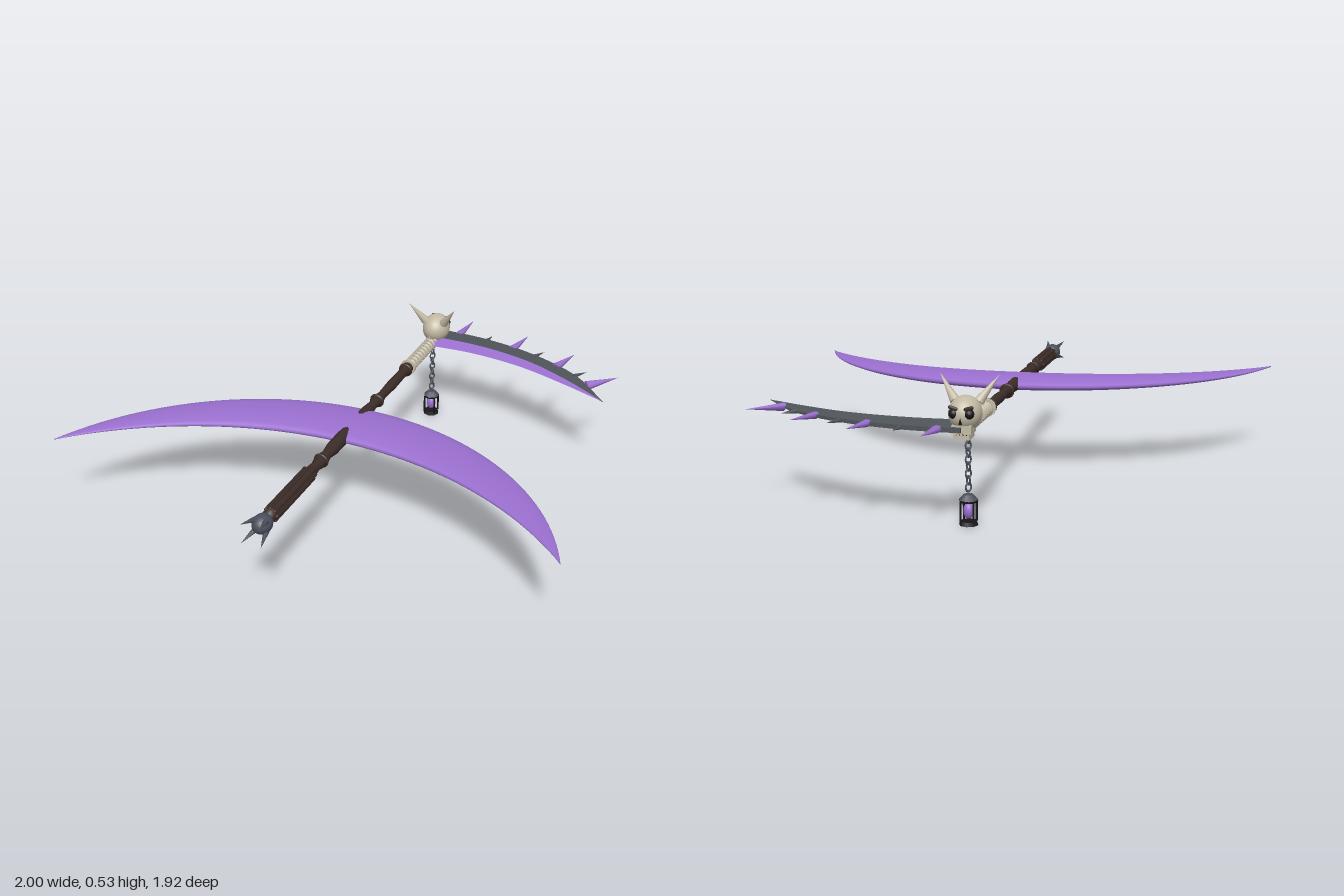
import * as THREE from 'three';

const V = (x, y, z) => new THREE.Vector3(x, y, z);
const mat = (name, color, side = THREE.FrontSide) => {
  const m = new THREE.MeshStandardMaterial({ color, side });
  m.name = name;
  return m;
};

export function createModel() {
  const root = new THREE.Group();
  root.name = 'scythe';
  const purple = mat('purple', 0x9a6fcf);
  const steel = mat('darkSteel', 0x50555a);
  const slate = mat('slate', 0x4a505c);
  const bone = mat('bone', 0xc4bba6);
  const wood = mat('darkWood', 0x3c2d28);
  const black = mat('black', 0x17151a);
  const Y = 0.36; // height of the shaft axis

  const add = (name, geo, m, pos = [0, 0, 0], parent = root) => {
    const mesh = new THREE.Mesh(geo, m);
    mesh.name = name;
    mesh.position.set(...pos);
    parent.add(mesh);
    return mesh;
  };
  // cone from a to b
  const spike = (name, a, b, r, m, sides = 8, flat = 1) => {
    const d = b.clone().sub(a);
    const geo = new THREE.ConeGeometry(r, d.length(), sides);
    const mesh = add(name, geo, m, a.clone().add(b).multiplyScalar(0.5).toArray());
    mesh.quaternion.setFromUnitVectors(V(0, 1, 0), d.normalize());
    mesh.scale.z = flat;
    return mesh;
  };
  // skin over closed rings that run counter-clockwise about the sweep direction
  const loft = (rings, sharp) => {
    const n = rings[0].length, idx = [];
    for (let i = 0; i < rings.length - 1; i++)
      for (let j = 0; j < n; j++) {
        const a = i * n + j, b = i * n + (j + 1) % n;
        idx.push(a, b, a + n, b, b + n, a + n);
      }
    for (let j = 1; j < n - 1; j++) idx.push(0, j + 1, j);
    let g = new THREE.BufferGeometry().setFromPoints(rings.flat());
    g.setIndex(idx);
    if (sharp) g = g.toNonIndexed();
    g.computeVertexNormals();
    return g;
  };

  // large crescent: elliptical sections between an outer and an inner arc
  const arc = (apex, tip, t) => {
    const s = tip - apex, R = (1 + s * s) / (2 * s), a = Math.asin(1 / R) * t;
    const full = s > 1 ? Math.PI - a : a;
    return V(R * Math.sin(full), Y, apex + R * (1 - Math.cos(full)));
  };
  const crescent = [];
  for (let i = 0; i <= 64; i++) {
    const t = -1 + i / 32;
    const o = arc(-0.005, 0.69, t), n = arc(0.255, 0.69, t);
    const mid = o.clone().add(n).multiplyScalar(0.5), half = n.clone().sub(mid);
    const h = 0.002 + 0.0265 * (1 - Math.abs(t) ** 1.6);
    const ring = [];
    for (let k = 0; k < 20; k++) {
      const a = k / 20 * Math.PI * 2;
      ring.push(mid.clone().addScaledVector(half, Math.cos(a)).add(V(0, -h * Math.sin(a), 0)));
    }
    crescent.push(ring);
  }
  add('crescentBlade', loft(crescent), purple);

  // gnarled shaft
  const shaft = [[-0.44, 0], [-0.44, 0.022], [-0.4, 0.027], [-0.36, 0.019], [-0.25, 0.021], [-0.15, 0.017],
    [-0.1, 0.026], [-0.06, 0.018], [0, 0.024], [0.06, 0.027], [0.13, 0.019], [0.2, 0.027], [0.32, 0.026],
    [0.37, 0.019], [0.415, 0.028], [0.46, 0.019], [0.5, 0.023], [0.52, 0.028], [0.66, 0.026], [0.81, 0.028],
    [0.84, 0.02], [0.84, 0]];
  const shaftGeo = new THREE.LatheGeometry(shaft.map(([z, r]) => new THREE.Vector2(r, z)), 14);
  add('shaft', shaftGeo.rotateX(Math.PI / 2), wood, [0, Y, 0]);
  for (const z of [-0.4, -0.1, 0.415])
    add('shaftKnot', new THREE.TorusGeometry(0.022, 0.008, 8, 16), wood, [0, Y, z]);
  // grip strands
  for (let i = 0; i < 8; i++) {
    const a = i / 8 * Math.PI * 2;
    add('gripStrand', new THREE.CapsuleGeometry(0.007, 0.3, 3, 6).rotateX(Math.PI / 2), wood,
      [0.025 * Math.cos(a), Y + 0.025 * Math.sin(a), 0.665]);
  }

  // pommel with claws
  add('pommel', new THREE.SphereGeometry(0.036, 20, 14), slate, [0, Y, 0.875]).scale.z = 1.2;
  for (let i = 0; i < 4; i++) {
    const a = Math.PI / 4 + i * Math.PI / 2, c = Math.cos(a), s = Math.sin(a);
    spike('pommelClaw', V(0.028 * c, Y + 0.028 * s, 0.885), V(0.054 * c, Y + 0.054 * s, 0.962), 0.011, slate);
  }

  // spine of vertebrae
  add('spineCore', new THREE.CylinderGeometry(0.018, 0.018, 0.28, 12).rotateX(Math.PI / 2), bone, [0, Y, -0.57]);
  add('spineCollar', new THREE.CylinderGeometry(0.033, 0.033, 0.012, 14).rotateX(Math.PI / 2), bone, [0, Y, -0.43]);
  for (let i = 0; i < 10; i++) {
    const z = -0.455 - i * 0.027;
    add('vertebra', new THREE.TorusGeometry(0.02, 0.008, 8, 16), bone, [0, Y, z]);
    spike('vertebraSpine', V(0, Y + 0.02, z), V(0, Y + 0.046, z + 0.004), 0.007, bone, 6);
    for (const s of [-1, 1])
      spike('vertebraWing', V(s * 0.018, Y, z), V(s * 0.034, Y, z), 0.007, bone, 6);
  }

  // skull facing backwards
  add('cranium', new THREE.SphereGeometry(0.062, 28, 20), bone, [0, 0.408, -0.752]).scale.set(0.94, 1, 1.13);
  add('cheeks', new THREE.BoxGeometry(0.07, 0.03, 0.07), bone, [0, 0.36, -0.775]);
  add('jaw', new THREE.BoxGeometry(0.058, 0.014, 0.07), bone, [0, 0.333, -0.775]);
  add('mouth', new THREE.BoxGeometry(0.052, 0.012, 0.06), black, [0, 0.344, -0.775]);
  for (let i = -2; i <= 2; i++)
    add('tooth', new THREE.BoxGeometry(0.008, 0.014, 0.006), bone, [i * 0.012, 0.344, -0.808]);
  spike('nose', V(0, 0.382, -0.818), V(0, 0.404, -0.822), 0.008, black, 3);
  for (const s of [-1, 1]) {
    add('eyeSocket', new THREE.SphereGeometry(0.018, 14, 10), black, [s * 0.027, 0.415, -0.805]);
    add('brow', new THREE.CapsuleGeometry(0.007, 0.022, 3, 8).rotateZ(Math.PI / 2 + s * 0.3), wood,
      [s * 0.027, 0.435, -0.812]);
    spike('horn', V(s * 0.042, 0.445, -0.727), V(s * 0.106, 0.533, -0.685), 0.019, bone, 12);
  }

  // side blade: steel body with a bevelled purple edge
  const curve = pts => new THREE.CatmullRomCurve3(pts.map(([x, z]) => V(x, Y, z)));
  const outer = curve([[0, -0.822], [0.22, -0.808], [0.45, -0.75], [0.67, -0.635], [0.835, -0.46]]);
  const seam = curve([[0, -0.722], [0.22, -0.715], [0.45, -0.665], [0.65, -0.572], [0.835, -0.46]]);
  const inner = curve([[0, -0.66], [0.2, -0.664], [0.43, -0.625], [0.64, -0.547], [0.835, -0.46]]);
  const body = [], edge = [];
  for (let i = 0; i <= 32; i++) {
    const t = i / 32, h = 0.016 * (1 - t ** 2) + 0.001;
    const o = outer.getPoint(t), b = seam.getPoint(t), n = inner.getPoint(t);
    const at = (p, dy) => p.clone().add(V(0, dy, 0));
    body.push([at(b, -h), at(o, -h * 0.5), at(o, h * 0.5), at(b, h)]);
    edge.push([n, at(b, -h), at(b, h)]);
  }
  add('sideBlade', loft(body, true), steel);
  add('sideBladeEdge', loft(edge, true), purple);
  for (const [x, z, tx, tz] of [[0.085, -0.81, 0.1, -0.963], [0.348, -0.772, 0.376, -0.912],
    [0.57, -0.685, 0.615, -0.818], [0.735, -0.57, 0.84, -0.68]])
    spike('bladeThorn', V(x, Y, z), V(tx, Y + 0.008, tz), 0.02, purple, 8, 0.7);
  for (const [x, z, tx, tz] of [[0.217, -0.8, 0.226, -0.865], [0.455, -0.74, 0.485, -0.803],
    [0.663, -0.632, 0.702, -0.69]])
    spike('smallThorn', V(x, Y, z), V(tx, Y, tz), 0.01, steel);

  // hanging chain
  const cz = -0.715;
  for (let i = 0; i < 9; i++) {
    const link = add('chainLink', new THREE.TorusGeometry(0.011, 0.0035, 6, 14), slate, [0, 0.335 - i * 0.025, cz]);
    link.scale.y = 1.35;
    link.rotation.y = Math.PI / 4 + (i % 2) * Math.PI / 2;
  }

  // lantern
  const lantern = new THREE.Group();
  lantern.name = 'lantern';
  lantern.position.z = cz;
  root.add(lantern);
  add('lanternBase', new THREE.CylinderGeometry(0.03, 0.035, 0.014, 8), black, [0, 0.007, 0], lantern);
  add('lanternRoof', new THREE.CylinderGeometry(0.018, 0.035, 0.02, 8), slate, [0, 0.1, 0], lantern);
  add('lanternRim', new THREE.CylinderGeometry(0.035, 0.033, 0.008, 8), black, [0, 0.087, 0], lantern);
  add('lanternGlow', new THREE.SphereGeometry(0.019, 16, 12), purple, [0, 0.05, 0], lantern).scale.y = 1.5;
  for (let i = 0; i < 4; i++) {
    const a = Math.PI / 4 + i * Math.PI / 2;
    add('lanternPost', new THREE.CylinderGeometry(0.004, 0.004, 0.076, 6), black,
      [0.033 * Math.cos(a), 0.048, 0.033 * Math.sin(a)], lantern);
  }
  return root;
}
